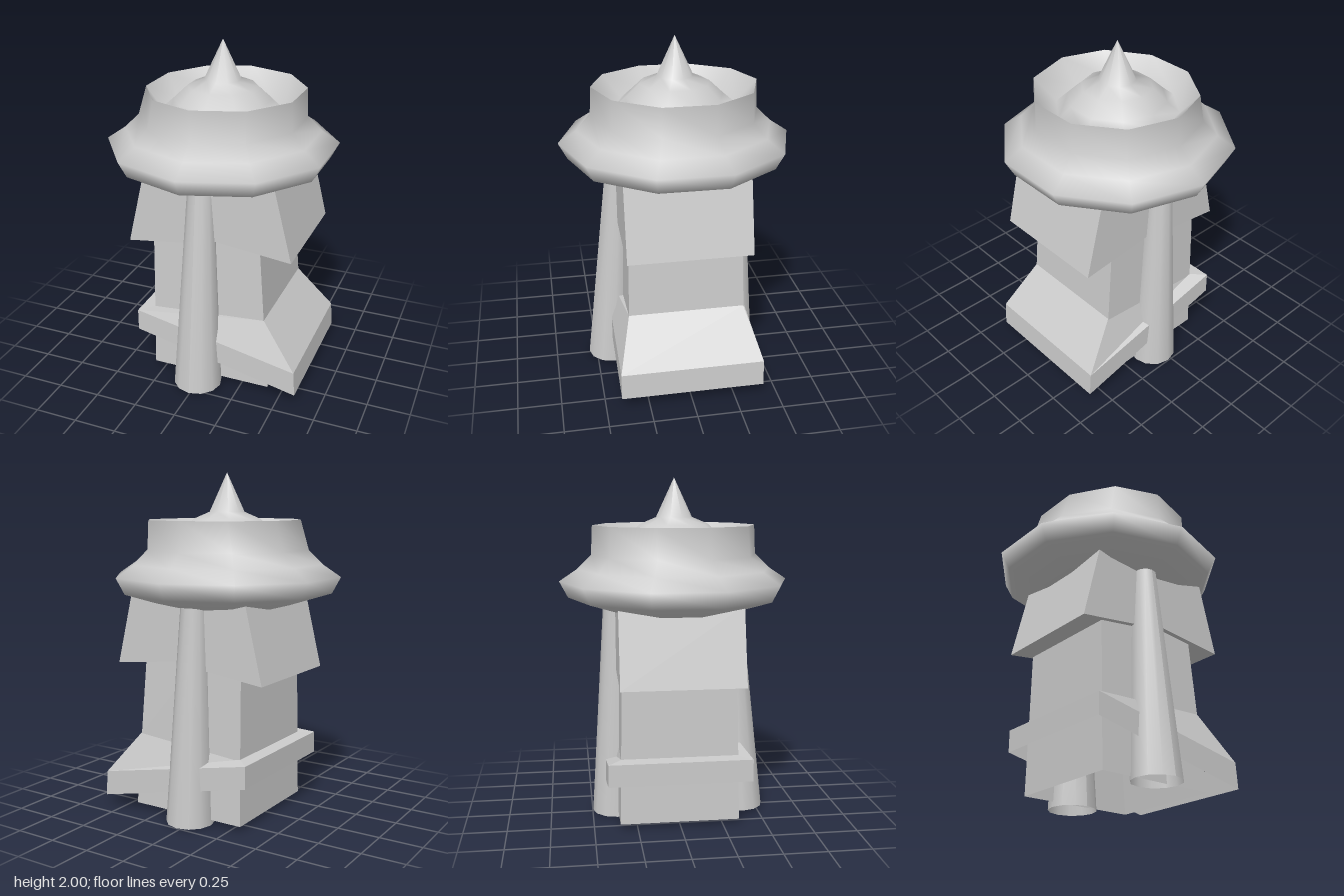
import * as THREE from 'three';

const smooth = new THREE.MeshStandardMaterial({ color: 0xcccccc, side: THREE.DoubleSide });
const flat = new THREE.MeshStandardMaterial({ color: 0xcccccc, side: THREE.DoubleSide, flatShading: true });

// Four-sided shell through levels [xLeft, yLeft, xRight, yRight, zBack, zFront], bottom to top
function shell(name, levels, capBottom = false) {
  const rings = levels.map(([xl, yl, xr, yr, zb, zf]) => [
    [xl, yl, zf], [xr, yr, zf], [xr, yr, zb], [xl, yl, zb],
  ]);
  const pos = [];
  const quad = (a, b, c, d) => pos.push(...a, ...b, ...c, ...a, ...c, ...d);
  for (let i = 0; i < rings.length - 1; i++) {
    for (let k = 0; k < 4; k++) {
      const n = (k + 1) % 4;
      quad(rings[i][k], rings[i][n], rings[i + 1][n], rings[i + 1][k]);
    }
  }
  if (capBottom) quad(rings[0][3], rings[0][2], rings[0][1], rings[0][0]);
  const geo = new THREE.BufferGeometry();
  geo.setAttribute('position', new THREE.Float32BufferAttribute(pos, 3));
  geo.computeVertexNormals();
  const mesh = new THREE.Mesh(geo, flat);
  mesh.name = name;
  return mesh;
}

// Ten-sided turned part; the rim is pulled in slightly on the -x side
function turned(name, profile) {
  const geo = new THREE.LatheGeometry(profile.map(([r, y]) => new THREE.Vector2(r, y)), 10);
  const p = geo.attributes.position;
  for (let i = 0; i < p.count; i++) {
    if (p.getX(i) < 0 && p.getY(i) > 1.72 && Math.hypot(p.getX(i), p.getZ(i)) > 0.4) {
      p.setX(i, p.getX(i) * 0.9);
    }
  }
  const mesh = new THREE.Mesh(geo, smooth);
  mesh.name = name;
  return mesh;
}

// Open tapered pipe leaning from its foot (x, z) to the head at zTop
function leg(name, x, z, zTop, y0) {
  const top = 1.3;
  const geo = new THREE.CylinderGeometry(0.072, 0.142, top - y0, 12, 1, true);
  geo.translate(0, (top + y0) / 2, 0);
  const p = geo.attributes.position;
  for (let i = 0; i < p.count; i++) {
    const t = (p.getY(i) - y0) / (top - y0);
    p.setX(i, p.getX(i) + x * (1 - t));
    p.setZ(i, p.getZ(i) + z + (zTop - z) * t);
  }
  geo.computeVertexNormals();
  const mesh = new THREE.Mesh(geo, smooth);
  mesh.name = name;
  return mesh;
}

export function createModel() {
  const model = new THREE.Group();
  model.name = 'tower';

  // Hollow trunk, narrowing upwards
  model.add(shell('trunk', [
    [-0.31, 0.03, 0.42, 0.03, -0.35, 0.345],
    [-0.305, 0.47, 0.385, 0.47, -0.342, 0.335],
    [-0.30, 1.28, 0.32, 1.28, -0.325, 0.315],
  ]));

  // Tilted belt with a sloping roof, flaring wide on the +x side
  model.add(shell('lowerSkirt', [
    [-0.385, 0.285, 0.605, 0.065, -0.42, 0.41],
    [-0.385, 0.415, 0.595, 0.215, -0.42, 0.41],
    [-0.305, 0.42, 0.385, 0.475, -0.34, 0.335],
  ]));

  // Flared blocks below the bowl
  model.add(shell('leftEave', [
    [0, 0.947, 0.54, 0.885, -0.352, 0.355],
    [0, 1.33, 0.428, 1.335, -0.352, 0.355],
  ], true));
  model.add(shell('rightEave', [
    [-0.445, 0.85, 0, 0.908, -0.352, 0.355],
    [-0.337, 1.30, 0, 1.30, -0.352, 0.355],
  ], true));

  // Legs
  model.add(leg('frontLeg', 0, 0.405, 0.33, 0.01));
  model.add(leg('backLeg', 0.025, -0.355, -0.345, 0));

  // Bowl outside, then the dish with its central spire
  model.add(turned('bowl', [
    [0, 1.23], [0.36, 1.235], [0.62, 1.315], [0.67, 1.41],
    [0.565, 1.48], [0.483, 1.56], [0.475, 1.73],
  ]));
  model.add(turned('dishAndSpire', [
    [0.475, 1.73], [0.35, 1.6], [0.28, 1.66], [0.2, 1.735], [0.105, 1.775], [0, 2],
  ]));

  return model;
}
